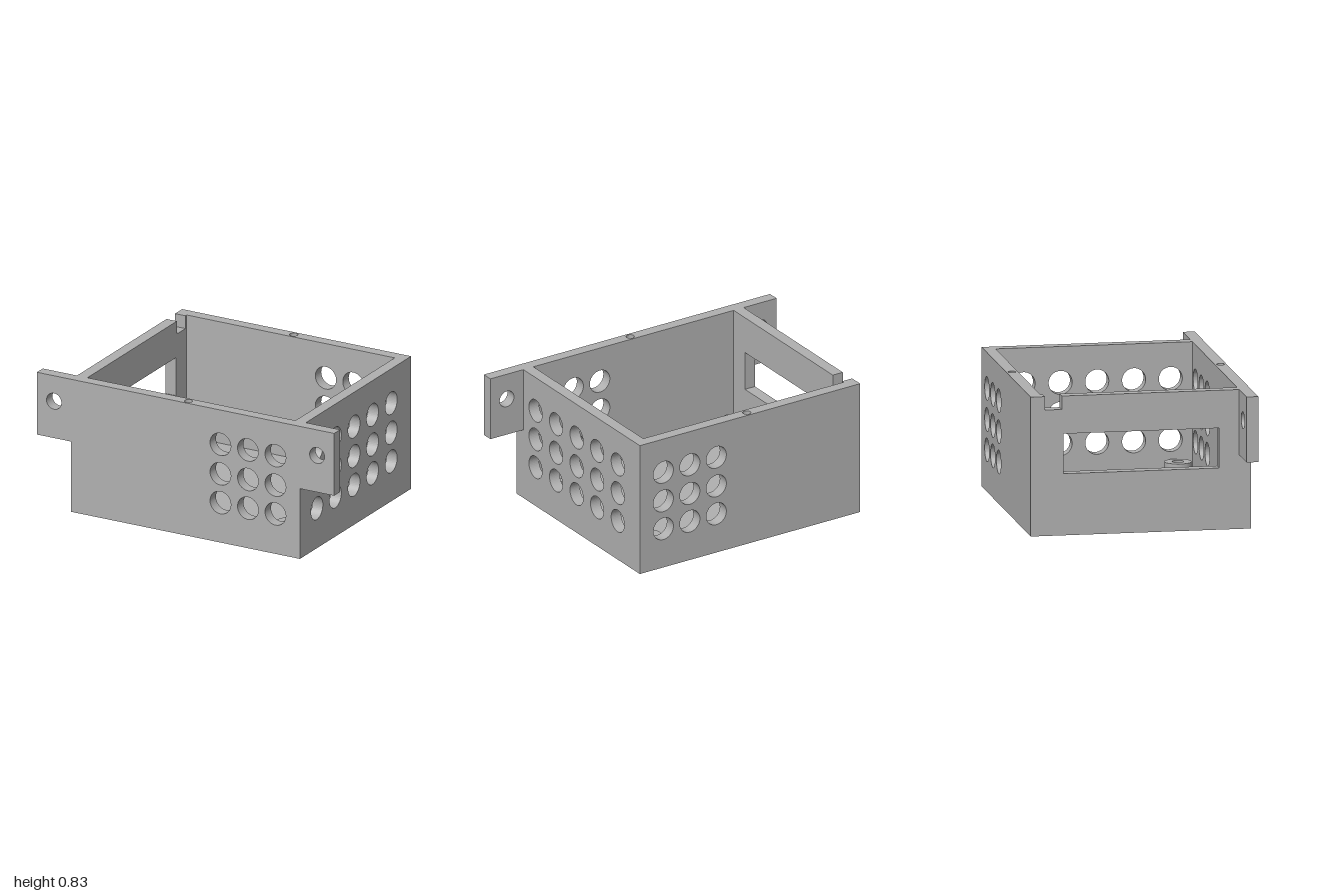
import * as THREE from 'three';

const WALL = 0.07, HEIGHT = 0.83;
const HALF_X = 0.77, HALF_Z = 0.655, IN_X = HALF_X - WALL, IN_Z = HALF_Z - WALL;
const ROWS = [0.25, 0.43, 0.615], HOLE_R = 0.07;
const SCREW_DEPTH = 0.2, PLUG = 0.05;

function polygon(points) {
  return new THREE.Shape(points.map(([a, b]) => new THREE.Vector2(a, b)));
}

function rect(a0, b0, a1, b1) {
  return polygon([[a0, b0], [a1, b0], [a1, b1], [a0, b1]]);
}

function circle(a, b, r) {
  return new THREE.Shape().absarc(a, b, r, 0, Math.PI * 2, false);
}

function grid(columns) {
  return columns.flatMap(a => ROWS.map(b => circle(a, b, HOLE_R)));
}

function extrude(shape, holes, depth) {
  shape.holes.push(...holes);
  return new THREE.ExtrudeGeometry(shape, { depth, bevelEnabled: false, curveSegments: 24 });
}

export function createModel() {
  const model = new THREE.Group();
  model.name = 'enclosure';
  const grey = new THREE.MeshStandardMaterial({ color: 0xb0b0b0 });
  grey.name = 'grey plastic';

  function add(name, geometry, x = 0, y = 0, z = 0) {
    const mesh = new THREE.Mesh(geometry, grey);
    mesh.name = name;
    mesh.position.set(x, y, z);
    model.add(mesh);
  }

  // Upright extrusion of a plan shape
  const upright = (shape, holes, depth) => extrude(shape, holes, depth).rotateX(-Math.PI / 2);
  // Side wall extrusion: shape drawn in z and y
  const sideways = (shape, holes) => extrude(shape, holes, WALL).rotateY(-Math.PI / 2);

  // Slot in the top edge that receives the screw hole block
  const low = HEIGHT - SCREW_DEPTH;
  const slot = [[PLUG, HEIGHT], [PLUG, low], [-PLUG, low], [-PLUG, HEIGHT]];
  const columns = [0.235, 0.42, 0.605];

  // Front panel with mounting ears
  const front = polygon([
    [-HALF_X, 0], [HALF_X, 0], [HALF_X, 0.44], [1, 0.44], [1, HEIGHT],
    ...slot, [-1, HEIGHT], [-1, 0.44], [-HALF_X, 0.44],
  ]);
  const earHoles = [-0.885, 0.885].map(x => circle(x, 0.67, 0.05));
  add('frontPanel', extrude(front, [...grid(columns), ...earHoles], WALL), 0, 0, IN_Z);

  // Back panel
  const back = polygon([[-HALF_X, 0], [HALF_X, 0], [HALF_X, HEIGHT], ...slot, [-HALF_X, HEIGHT]]);
  add('backPanel', extrude(back, grid(columns), WALL), 0, 0, -HALF_Z);

  // Lid screw holes in the top edges
  for (const [name, side] of [['frontLidScrewHole', 1], ['backLidScrewHole', -1]]) {
    const block = rect(-PLUG, -WALL / 2, PLUG, WALL / 2);
    add(name, upright(block, [circle(0, 0, 0.024)], SCREW_DEPTH), 0, low, side * (HALF_Z - WALL / 2));
  }

  // Ventilated wall
  add('ventWall', sideways(rect(-IN_Z, 0, IN_Z, HEIGHT), grid([0.455, 0.237, 0.018, -0.2, -0.42])), HALF_X);

  // Wall with display window and cable notch
  const windowWall = polygon([
    [-IN_Z, 0], [IN_Z, 0], [IN_Z, HEIGHT], [-0.47, HEIGHT],
    [-0.47, 0.75], [-0.57, 0.75], [-0.57, HEIGHT], [-IN_Z, HEIGHT],
  ]);
  add('windowWall', sideways(windowWall, [rect(-0.46, 0.367, 0.465, 0.605)]), -IN_X);

  // Floor with two screw holes
  const screws = [[-0.6, -0.485], [0.6, 0.48]];
  const pins = [[0.6, -0.485], [-0.6, 0.48]];
  const floorHoles = screws.map(([x, z]) => circle(x, -z, 0.034));
  add('floor', upright(rect(-IN_X, -IN_Z, IN_X, IN_Z), floorHoles, WALL));

  // Hollow standoffs
  for (const [x, z] of screws) {
    add('screwStandoff', upright(circle(0, 0, 0.08), [circle(0, 0, 0.034)], 0.07), x, WALL, z);
  }

  // Standoffs with locating pins
  for (const [x, z] of pins) {
    add('pinStandoff', new THREE.CylinderGeometry(0.08, 0.08, 0.07, 40), x, 0.105, z);
    add('locatingPin', new THREE.CylinderGeometry(0.032, 0.032, 0.07, 32), x, 0.175, z);
  }
  return model;
}
